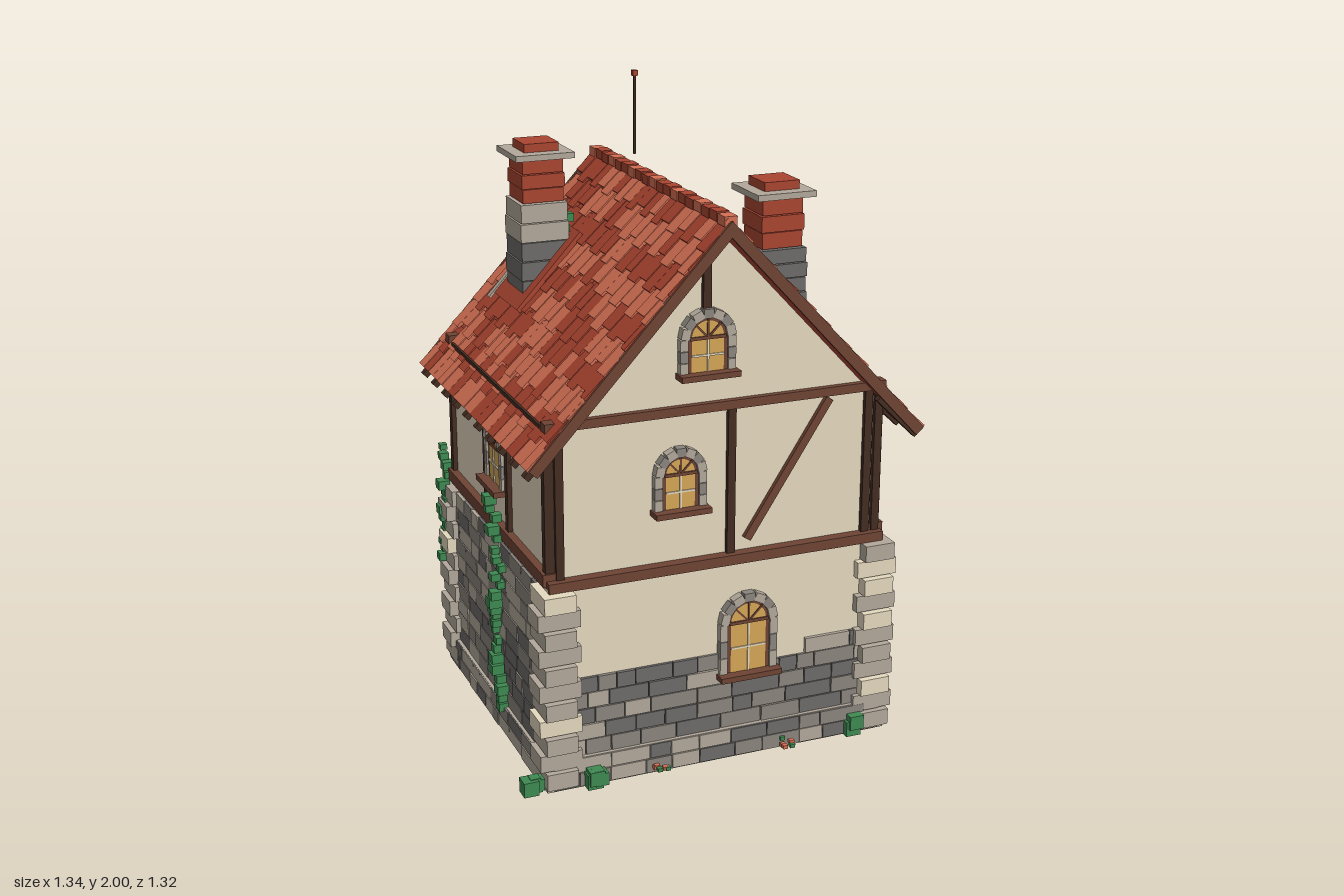
import * as THREE from 'three';
import { mergeGeometries } from 'three/addons/utils/BufferGeometryUtils.js';

const mat = (name, color) => Object.assign(new THREE.MeshStandardMaterial({ color }), { name });
const plaster = mat('plaster', 0xe6dac0), stoneDark = mat('dark stone', 0x6e6c6a), stoneMid = mat('mid stone', 0x8b857e),
  stoneLight = mat('light stone', 0xb3a99b), woodDark = mat('dark timber', 0x432c21), wood = mat('red timber', 0x6f4435),
  tile = mat('red tile', 0xaa4531), tileLight = mat('light tile', 0xd67054), glass = mat('lit glass', 0xd6a758),
  green = mat('leaves', 0x3f8a52);

export function createModel() {
  const root = new THREE.Group();
  root.name = 'cottage';
  let seed = 7;
  const rnd = (a = 0, b = 1) => {
    seed = (seed * 16807) % 2147483647;
    return a + (b - a) * seed / 2147483647;
  };
  const pick = (...list) => list[Math.floor(rnd() * list.length)];
  const group = (parent, name, x = 0, y = 0, z = 0) => {
    const g = new THREE.Group();
    g.name = name;
    g.position.set(x, y, z);
    parent.add(g);
    return g;
  };
  const add = (parent, name, geo, m) => {
    const mesh = new THREE.Mesh(geo, m);
    mesh.name = name;
    parent.add(mesh);
    return mesh;
  };
  const boxGeo = (w, h, d, x, y, z, rz = 0) => new THREE.BoxGeometry(w, h, d).rotateZ(rz).translate(x, y, z);
  const box = (parent, name, m, ...dims) => add(parent, name, boxGeo(...dims), m);
  // Timber between two points in a wall's plane
  const beam = (parent, x0, y0, x1, y1, m = woodDark, t = 0.026, d = 0.03, z = 0) =>
    box(parent, 'timber', m, Math.hypot(x1 - x0, y1 - y0), t, d, (x0 + x1) / 2, (y0 + y1) / 2, z, Math.atan2(y1 - y0, x1 - x0));
  // Many blocks, merged into one mesh per colour
  const batch = (parent, name, fill) => {
    const lists = new Map();
    fill((m, ...dims) => lists.set(m, [...(lists.get(m) || []), boxGeo(...dims)]));
    lists.forEach((geos, m) => add(parent, name, mergeGeometries(geos), m));
  };
  // Wall frames: local x runs right along the wall, local z points outward
  const walls = (level, x0, x1, z0, z1) => ['front', 'right', 'back', 'left'].map((n, i) => {
    const g = group(root, n + level, [0, x1, 0, x0][i], 0, [z1, 0, z0, 0][i]);
    g.rotation.y = [0, 1, 2, -1][i] * Math.PI / 2;
    return g;
  });

  // Wall bodies
  const X0 = -0.57, X1 = 0.54, Z0 = -0.405, Z1 = 0.585;
  box(root, 'foundation', stoneLight, 1.15, 0.1, 1.03, -0.015, 0.05, 0.09);
  box(root, 'lowerWalls', plaster, X1 - X0, 0.57, Z1 - Z0, -0.015, 0.375, 0.09);
  const gable = new THREE.Shape([[-0.555, 0.65], [0.525, 0.65], [0.525, 1.11], [-0.015, 1.69], [-0.555, 1.1]]
    .map(p => new THREE.Vector2(...p)));
  add(root, 'upperWalls', new THREE.ExtrudeGeometry(gable, { depth: 0.955, bevelEnabled: false }).translate(0, 0, -0.395), plaster);
  const [lf, lr, lb, ll] = walls('LowerWall', X0, X1, Z0, Z1);
  const [uf, ur, ub, ul] = walls('UpperWall', -0.555, 0.525, -0.395, 0.56);

  // Irregular stone courses
  const stones = (wall, x0, x1, y0, y1, rows, mats, depth = 0.016, ragged = false) => batch(wall, 'stonework', put => {
    const h = (y1 - y0) / rows;
    for (let r = 0; r < rows; r++) for (let x = x0; x < x1 - 0.01;) {
      const w = Math.min(rnd(0.06, 0.17), x1 - x);
      if (!(ragged && r === rows - 1 && rnd() < 0.2))
        put(pick(...mats), w - 0.003, h - 0.003, depth + rnd(0, 0.008), x + w / 2, y0 + (r + 0.5) * h, 0);
      x += w;
    }
  });
  const grey = [stoneDark, stoneDark, stoneMid, stoneMid, stoneLight], base = [stoneLight, stoneLight, stoneMid, stoneDark];
  stones(lf, -0.52, 0.49, 0.1, 0.36, 5, grey, 0.016, true);
  stones(ll, -0.37, 0.55, 0.1, 0.65, 10, grey);
  stones(lb, 0.27, 0.53, 0.1, 0.65, 10, grey);
  [[lf, X0, X1], [lr, -Z1, -Z0], [lb, -X1, -X0], [ll, Z0, Z1]].forEach(([w, a, b]) => stones(w, a, b, 0.003, 0.1, 2, base, 0.046));

  // Corner quoins
  batch(root, 'quoins', put => {
    for (const [sx, cx] of [[-1, X0], [1, X1]]) for (const [sz, cz] of [[-1, Z0], [1, Z1]]) for (let i = 0; i < 11; i++) {
      const [w, d] = i % 2 ? [0.135, 0.1] : [0.1, 0.135], px = i % 2 ? 0.042 : 0.026, pz = i % 2 ? 0.026 : 0.042;
      put(pick(plaster, stoneLight, stoneLight), w, 0.054, d, cx + sx * (px - w / 2), 0.045 + i * 0.058, cz + sz * (pz - d / 2));
    }
  });

  // Arched windows
  const archShape = (w, h) => {
    const s = new THREE.Shape(), r = w / 2;
    s.moveTo(-r, 0).lineTo(r, 0).lineTo(r, h - r).absarc(0, h - r, r, 0, Math.PI, false).lineTo(-r, 0);
    return s;
  };
  const win = (wall, x, y, w, h) => {
    const g = group(wall, 'window', x, y, 0), r = w / 2, c = h - r, R = r + 0.016;
    add(g, 'windowFrame', new THREE.ExtrudeGeometry(archShape(w + 0.014, h + 0.007), { depth: 0.018, bevelEnabled: false }), wood);
    add(g, 'glass', new THREE.ShapeGeometry(archShape(w - 0.012, h - 0.006)).translate(0, 0, 0.0195), glass);
    box(g, 'mullion', plaster, 0.006, c, 0.006, 0, c / 2, 0.02);
    box(g, 'crossbar', plaster, w - 0.012, 0.006, 0.006, 0, c * 0.5, 0.02);
    box(g, 'transom', wood, w, 0.01, 0.008, 0, c, 0.021);
    for (const a of [0.8, 1.57, 2.34]) beam(g, 0, c, r * Math.cos(a), c + r * Math.sin(a), wood, 0.006, 0.006, 0.02);
    batch(g, 'stoneSurround', put => {
      for (let i = 0; i < 7; i++) {
        const a = (i + 0.5) * Math.PI / 7;
        put(i % 2 ? stoneMid : stoneLight, 0.028, R * 0.44, 0.056, R * Math.cos(a), c + R * Math.sin(a), 0, a);
      }
      for (const s of [-1, 1]) for (let i = 0; i < 3; i++)
        put(i % 2 ? stoneMid : stoneLight, 0.025, c / 3 - 0.002, 0.05, s * (R + 0.003), (i + 0.5) * c / 3, 0);
    });
    box(g, 'sill', wood, w + 0.075, 0.018, 0.075, 0, -0.006, 0.015);
  };
  win(lf, 0.075, 0.29, 0.13, 0.235);
  win(uf, -0.145, 0.855, 0.105, 0.165);
  win(uf, -0.06, 1.275, 0.115, 0.165);
  win(lr, -0.205, 0.285, 0.13, 0.235);
  win(ur, 0.11, 0.82, 0.13, 0.18);
  win(lb, -0.29, 0.29, 0.13, 0.235);
  win(ub, -0.29, 0.855, 0.11, 0.165);
  win(ub, 0.42, 0.855, 0.11, 0.165);
  win(ub, 0.03, 1.275, 0.115, 0.165);
  win(ul, 0.1, 0.83, 0.11, 0.18);

  // Timber framing
  for (const [w, a, b] of [[uf, -0.57, 0.54], [ub, -0.54, 0.57]]) {
    beam(w, a, 0.667, b, 0.667, wood, 0.032, 0.07);
    beam(w, a, 1.163, b, 1.163, wood, 0.028, 0.04);
  }
  for (const [w, a, b] of [[ur, -0.57, 0.41], [ul, -0.41, 0.57]]) {
    beam(w, a, 0.685, b, 0.685, wood, 0.04, 0.05);
    beam(w, a, 1.075, b, 1.075, woodDark, 0.03, 0.03);
  }
  [[uf, 1.155, -0.527, 0.025, 0.485, 0.52], [ur, 1.08, -0.55, -0.115, 0.34, 0.395],
    [ub, 1.155, -0.505, -0.18, 0.08, 0.535], [ul, 1.08, -0.385, -0.02, 0.2, 0.55]]
    .forEach(([w, top, ...xs]) => xs.forEach(x => beam(w, x, 0.68, x, top)));
  beam(uf, 0.08, 0.72, 0.35, 1.14, wood);
  beam(uf, -0.06, 1.47, -0.06, 1.66);
  beam(ub, 0.03, 1.47, 0.03, 1.66);
  beam(ur, -0.02, 0.73, 0.16, 1.04, wood, 0.024, 0.02, 0.035);
  beam(ub, -0.52, 0.81, 0.55, 0.81);
  beam(ub, -0.52, 1.0, 0.55, 1.0);
  beam(ub, -0.16, 0.69, 0.06, 1.14, wood);
  beam(ub, 0.11, 1.14, 0.33, 0.69, wood);

  // Tiled gable roofs, with courses of alternating colour and staggered ends
  const roof = (name, x, y, z0, z1, runs, slope, rows) => {
    const g = group(root, name, x, y, 0), a = Math.atan(slope), zc = (z0 + z1) / 2;
    [-1, 1].forEach((s, k) => {
      const side = group(g, 'roofSlope'), L = runs[k] / Math.cos(a), d = L / rows;
      side.rotation.z = -s * a;
      box(side, 'roofBoard', tile, L, 0.018, z1 - z0 - 0.02, s * L / 2, -0.014, zc);
      for (const z of [z0, z1]) box(side, 'bargeboard', wood, L + 0.01, 0.034, 0.014, s * L / 2, -0.01, z);
      batch(side, 'roofTiles', put => {
        for (let r = 0; r < rows; r++) for (let z = z0, i = r; z < z1 - 0.005; i++) {
          const w = Math.min(rnd(0.045, 0.07), z1 - z), light = (r % 2 === 1) !== (rnd() < 0.2);
          const end = r === rows - 1 ? 0 : (i % 2 ? 0.012 : -0.01) + rnd(-0.004, 0.004);
          put(light ? tileLight : tile, d + 0.016, 0.011, w - 0.002, s * ((r + 0.5) * d + end), 0.002 + rnd(0, 0.003), z + w / 2, s * 0.07);
          z += w;
        }
      });
    });
    batch(g, 'ridgeTiles', put => {
      const n = Math.round((z1 - z0) / 0.06), w = (z1 - z0) / n;
      for (let i = 0; i < n; i++) put(i % 3 ? tile : tileLight, 0.04, 0.03, w - 0.006, 0, 0.007 + (i % 2) * 0.003, z0 + (i + 0.5) * w);
    });
    return g;
  };
  const runs = [0.618, 0.648], main = roof('mainRoof', -0.014, 1.73, -0.475, 0.635, runs, 1.08, 10);
  [-1, 1].forEach((s, k) => {
    const e = runs[k];
    box(main, 'snowGuard', woodDark, 0.008, 0.014, 0.88, s * 0.55, -0.577, 0.085);
    for (let i = 0; i < 10; i++) beam(main, s * (e - 0.13), -1.08 * e + 0.1, s * (e + 0.006), -1.08 * e - 0.035, woodDark, 0.022, 0.022, -0.45 + i * 0.116);
  });

  // Back porch
  const porch = roof('porchRoof', -0.145, 0.785, -0.655, -0.385, [0.228, 0.228], 0.82, 4);
  box(porch, 'porchRidge', tileLight, 0.05, 0.02, 0.19, 0, 0.01, -0.565);
  for (const s of [-1, 1]) {
    box(root, 'porchPost', wood, 0.026, 0.6, 0.026, -0.14 + s * 0.19, 0.315, -0.6);
    box(root, 'porchRail', woodDark, 0.024, 0.024, 0.24, -0.14 + s * 0.19, 0.615, -0.51);
  }
  box(root, 'porchTie', woodDark, 0.4, 0.024, 0.024, -0.14, 0.625, -0.6);
  box(root, 'porchKingPost', woodDark, 0.02, 0.12, 0.02, -0.145, 0.695, -0.6);
  batch(root, 'paving', put => {
    for (let i = 0; i < 4; i++) for (let j = 0; j < 2; j++)
      put(pick(stoneMid, stoneLight, stoneDark), 0.094, 0.028, 0.088, -0.3 + i * 0.107, 0.014, -0.585 + j * 0.1);
  });
  const door = group(lb, 'door', 0.14, 0.06, 0);
  add(door, 'doorSurround', new THREE.ExtrudeGeometry(archShape(0.25, 0.51), { depth: 0.018, bevelEnabled: false }), stoneMid);
  add(door, 'doorLeaf', new THREE.ExtrudeGeometry(archShape(0.19, 0.475), { depth: 0.026, bevelEnabled: false }), wood);
  for (const x of [-0.048, 0, 0.048]) box(door, 'doorJoint', woodDark, 0.005, 0.4, 0.004, x, 0.2, 0.027);
  for (const y of [0.1, 0.33]) box(door, 'doorHinge', woodDark, 0.15, 0.014, 0.006, 0, y, 0.028);
  for (const x of [-0.07, -0.42]) box(lb, 'wallPost', wood, 0.026, 0.55, 0.03, x, 0.375, 0);

  // Side balcony
  const bal = group(ur, 'balcony', 0.12, 0, 0);
  box(bal, 'balconyDoor', wood, 0.17, 0.15, 0.03, -0.01, 0.745, 0.005);
  box(bal, 'balconyFloor', wood, 0.34, 0.024, 0.13, 0, 0.662, 0.065);
  box(bal, 'topRail', woodDark, 0.345, 0.014, 0.014, 0, 0.785, 0.125);
  for (let i = 0; i < 10; i++) box(bal, 'baluster', woodDark, 0.01, 0.12, 0.01, -0.165 + i * 0.0367, 0.73, 0.125);
  for (const s of [-1, 1]) {
    box(bal, 'sideRail', woodDark, 0.014, 0.014, 0.13, s * 0.165, 0.785, 0.065);
    for (const z of [0.03, 0.06, 0.093]) box(bal, 'baluster', woodDark, 0.01, 0.12, 0.01, s * 0.165, 0.73, z);
  }
  for (const x of [-0.13, 0, 0.13]) {
    box(bal, 'joist', woodDark, 0.018, 0.02, 0.13, x, 0.64, 0.065);
    const brace = box(bal, 'brace', woodDark, 0.018, 0.018, 0.15, 0, 0, 0);
    brace.position.set(x, 0.595, 0.06);
    brace.rotation.x = -0.7;
  }

  // Chimneys
  const chimney = (x, z, y0, y1, cap, w, upper) => {
    const g = group(root, 'chimney', x, 0, z);
    const course = (name, m, a, b, s) => box(g, name, m, s, b - a - 0.003, s, 0, (a + b) / 2, 0);
    for (let i = 0; i < 5; i++) {
      const h = (y1 - y0) / 5;
      course('chimneyStone', i < 3 ? stoneDark : upper, y0 + i * h, y0 + (i + 1) * h, w + (i % 2) * 0.006);
    }
    for (let i = 0; i < 3; i++) {
      const h = (cap - y1) / 3;
      course('chimneyBrick', tile, y1 + i * h, y1 + (i + 1) * h, w - 0.02 + (i % 2) * 0.008);
    }
    course('chimneyCap', stoneLight, cap, cap + 0.022, w + 0.04);
    course('chimneyTop', tile, cap + 0.02, cap + 0.05, 0.115);
  };
  chimney(-0.31, -0.22, 1.34, 1.65, 1.79, 0.155, stoneLight);
  chimney(0.24, 0.38, 1.36, 1.59, 1.745, 0.152, stoneDark);
  for (const [x, y, z, s] of [[0.246, 1.475, 0.38, -1], [-0.31, 1.435, -0.22, 1]])
    box(root, 'chimneyFlashing', tile, 0.32, 0.016, 0.24, x, y, z, s * 0.824);
  box(root, 'flashingStrip', stoneLight, 0.34, 0.008, 0.022, -0.325, 1.432, -0.338, 0.824);

  // Roof rod
  add(root, 'roofRod', new THREE.CylinderGeometry(0.005, 0.005, 0.27, 6).translate(0.115, 1.855, -0.44), woodDark);
  box(root, 'rodTip', tile, 0.018, 0.018, 0.018, 0.115, 1.991, -0.44);

  // Bushes, flowers and creepers
  batch(root, 'bushes', put => {
    for (const [x, z] of [[-0.63, 0.6], [-0.44, 0.62], [0.45, 0.62], [0.59, 0.02], [0.59, -0.39], [-0.48, -0.475], [-0.43, -0.47]])
      for (let i = 0; i < 5; i++) {
        const s = rnd(0.03, 0.05);
        put(green, s, s, s, x + rnd(-0.025, 0.025), 0.026 + rnd(0, 0.025), z + rnd(-0.015, 0.02));
      }
  });
  batch(root, 'flowers', put => {
    for (const [x, y, z] of [[0.2, 0.025, 0.63], [-0.22, 0.025, 0.63], [0.63, 0.025, 0.25], [0.62, 0.025, -0.18], [0.37, 0.02, -0.52], [-0.4, 0.02, -0.53],
      [0.645, 0.82, -0.2], [0.645, 0.81, -0.07], [0.25, 0.285, -0.455], [0.32, 0.285, -0.455]])
      for (let i = 0; i < 5; i++)
        put(i % 4 ? tileLight : green, 0.016, 0.012, 0.016, x + rnd(-0.028, 0.02), y + rnd(-0.008, 0.01), z + rnd(-0.02, 0.02));
  });
  box(lb, 'flowerBox', wood, 0.17, 0.03, 0.04, -0.29, 0.255, 0.045);
  batch(root, 'creepers', put => {
    for (const [x, z, y0, y1, sway] of [[-0.595, 0.16, 0.1, 0.82, 0.03], [-0.36, -0.625, 0.05, 0.5, 0.005],
      [-0.59, -0.42, 0.38, 0.8, 0.02], [-0.23, -0.18, 1.53, 1.62, 0.01]])
      for (let y = y0; y < y1; y += 0.03) {
        const s = rnd(0.024, 0.042);
        put(green, s, s * 0.8, s, x + rnd(-0.015, 0.012), y, z + Math.sin(y * 14) * sway + rnd(-0.01, 0.01));
      }
  });
  return root;
}
